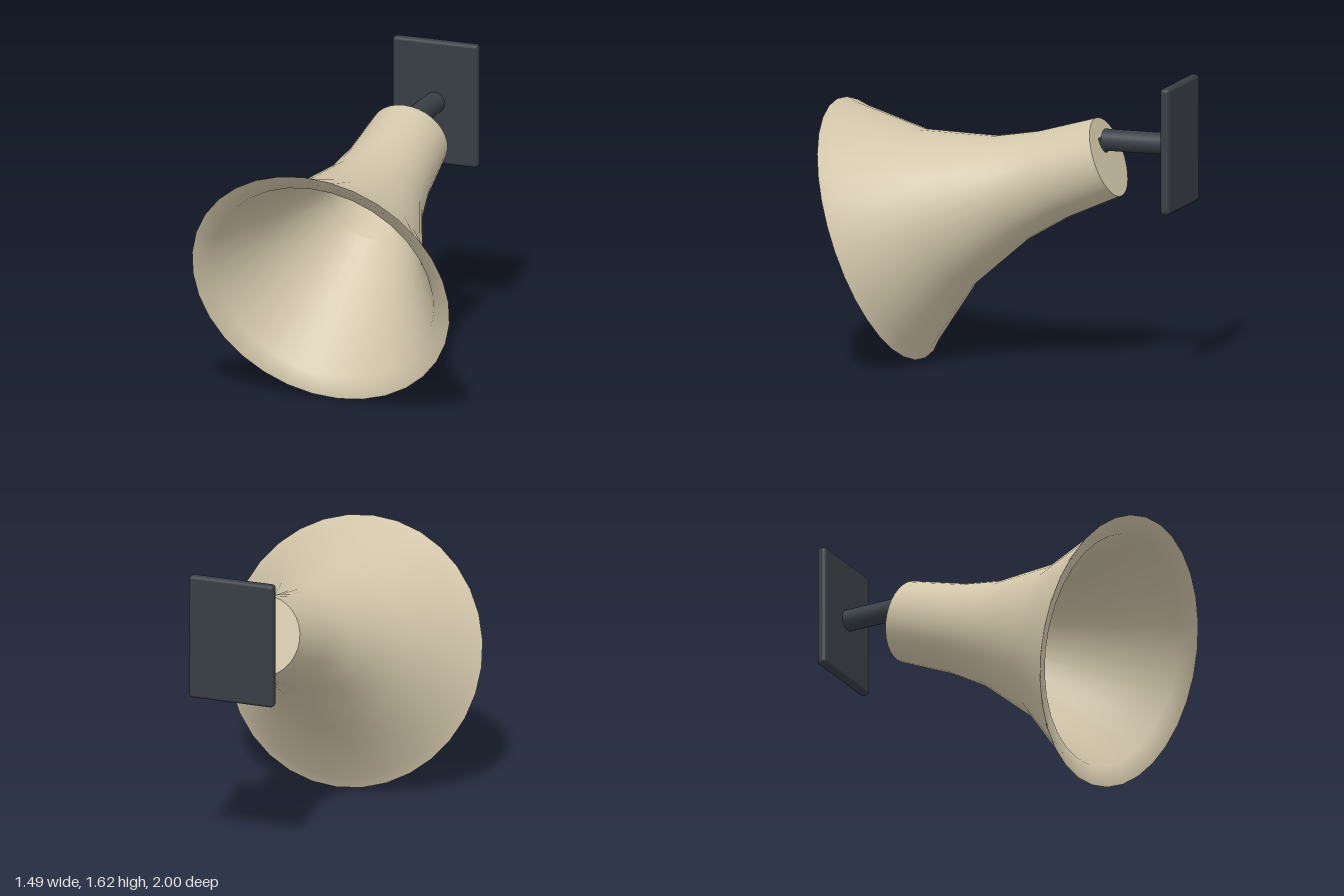
import * as THREE from 'three';
import { RoundedBoxGeometry } from 'three/addons/geometries/RoundedBoxGeometry.js';

export function createModel() {
  const model = new THREE.Group();
  const cream = new THREE.MeshStandardMaterial({ color: 0xd2c6aa, side: THREE.DoubleSide });
  const charcoal = new THREE.MeshStandardMaterial({ color: 0x383e45 });
  cream.name = 'cream';
  charcoal.name = 'charcoal';

  const add = (parent, name, geometry, material) => {
    const mesh = new THREE.Mesh(geometry, material);
    mesh.name = name;
    parent.add(mesh);
    return mesh;
  };
  // Profiles are [radius, depth behind the mouth]
  const lathe = (points) =>
    new THREE.LatheGeometry(points.map(([r, d]) => new THREE.Vector2(r, d)), 32);

  // Horn, tipped 20 degrees downwards
  const horn = new THREE.Group();
  horn.name = 'horn';
  horn.position.set(0, 0.707, 0.745);
  horn.rotation.x = THREE.MathUtils.degToRad(-70);
  model.add(horn);

  add(horn, 'hornOuter', lathe([
    [0.743, 0], [0.694, 0.053], [0.448, 0.394], [0.295, 0.793], [0.248, 1.048], [0.223, 1.393],
  ]), cream);
  add(horn, 'hornInner', lathe([
    [0.25, 0.79], [0.436, 0.394], [0.635, 0.045], [0.743, 0],
  ]), cream);
  add(horn, 'throat', lathe([[0.22, 1.39], [0.25, 0.79]]), cream);
  const cap = add(horn, 'backCap', new THREE.CircleGeometry(0.223, 32), cream);
  cap.rotation.x = -Math.PI / 2;
  cap.position.y = 1.393;

  // Bent support rod: level outside, sloping down inside the throat
  const rod = (name, a, b) => {
    const dir = b.clone().sub(a);
    const mesh = add(model, name, new THREE.CylinderGeometry(0.06, 0.06, dir.length(), 24), charcoal);
    mesh.position.copy(a).add(b).multiplyScalar(0.5);
    mesh.quaternion.setFromUnitVectors(new THREE.Vector3(0, 1, 0), dir.normalize());
  };
  const elbow = new THREE.Vector3(0, 1.278, -0.54);
  rod('supportRod', new THREE.Vector3(0, 1.278, -0.96), elbow);
  rod('innerRod', elbow, new THREE.Vector3(0, 1.08, -0.34));

  // Wall plate
  const plate = add(model, 'wallPlate', new RoundedBoxGeometry(0.496, 0.695, 0.055, 3, 0.02), charcoal);
  plate.position.set(0, 1.278, -0.9725);

  return model;
}
